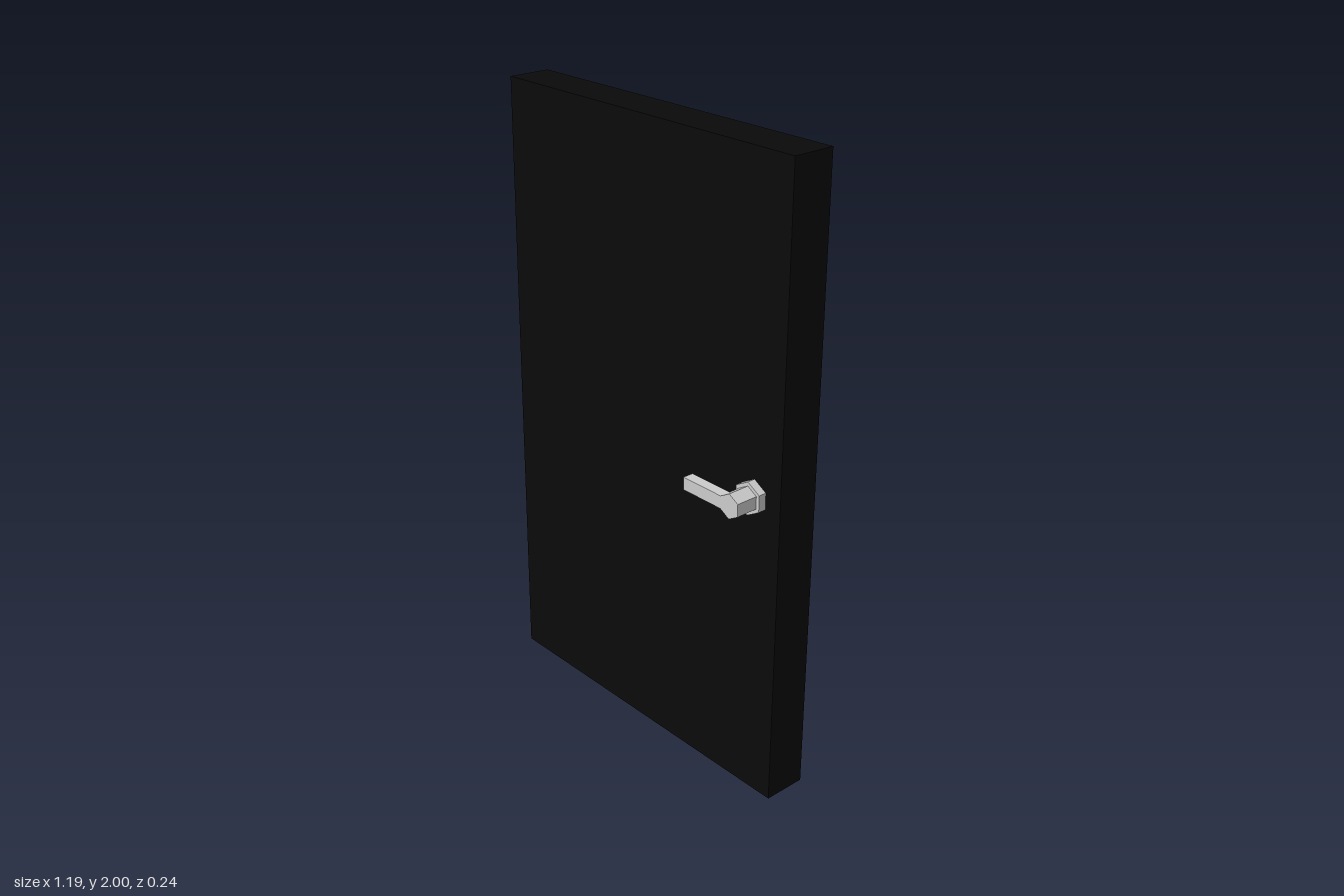
import * as THREE from 'three';

export function createModel() {
  const group = new THREE.Group();
  const black = new THREE.MeshStandardMaterial({ color: 0x0a0a0a });
  const grey = new THREE.MeshStandardMaterial({ color: 0xcccccc, flatShading: true });

  function add(parent, name, geometry, material) {
    const mesh = new THREE.Mesh(geometry, material);
    mesh.name = name;
    parent.add(mesh);
  }

  // Box given by its limits on each axis
  function box(x0, x1, y0, y1, z0, z1) {
    return new THREE.BoxGeometry(x1 - x0, y1 - y0, z1 - z0)
      .translate((x0 + x1) / 2, (y0 + y1) / 2, (z0 + z1) / 2);
  }

  // Six-sided prism along z with corners at top and bottom
  function hexPrism(radius, z0, z1) {
    return new THREE.CylinderGeometry(radius, radius, z1 - z0, 6)
      .rotateX(Math.PI / 2)
      .translate(0.49, 1, (z0 + z1) / 2);
  }

  // Door slab
  add(group, 'doorPanel', box(-0.594, 0.594, 0, 2, -0.12, 0.02), black);

  // Handle: hexagonal plate, narrower stem, and a lever off the stem's side
  const handle = new THREE.Group();
  handle.name = 'handle';
  add(handle, 'handlePlate', hexPrism(0.053, 0.02, 0.046), grey);
  add(handle, 'handleStem', hexPrism(0.04, 0.046, 0.118), grey);
  add(handle, 'handleLever', box(0.302, 0.4554, 0.98, 1.02, 0.083, 0.118), grey);
  group.add(handle);

  return group;
}
